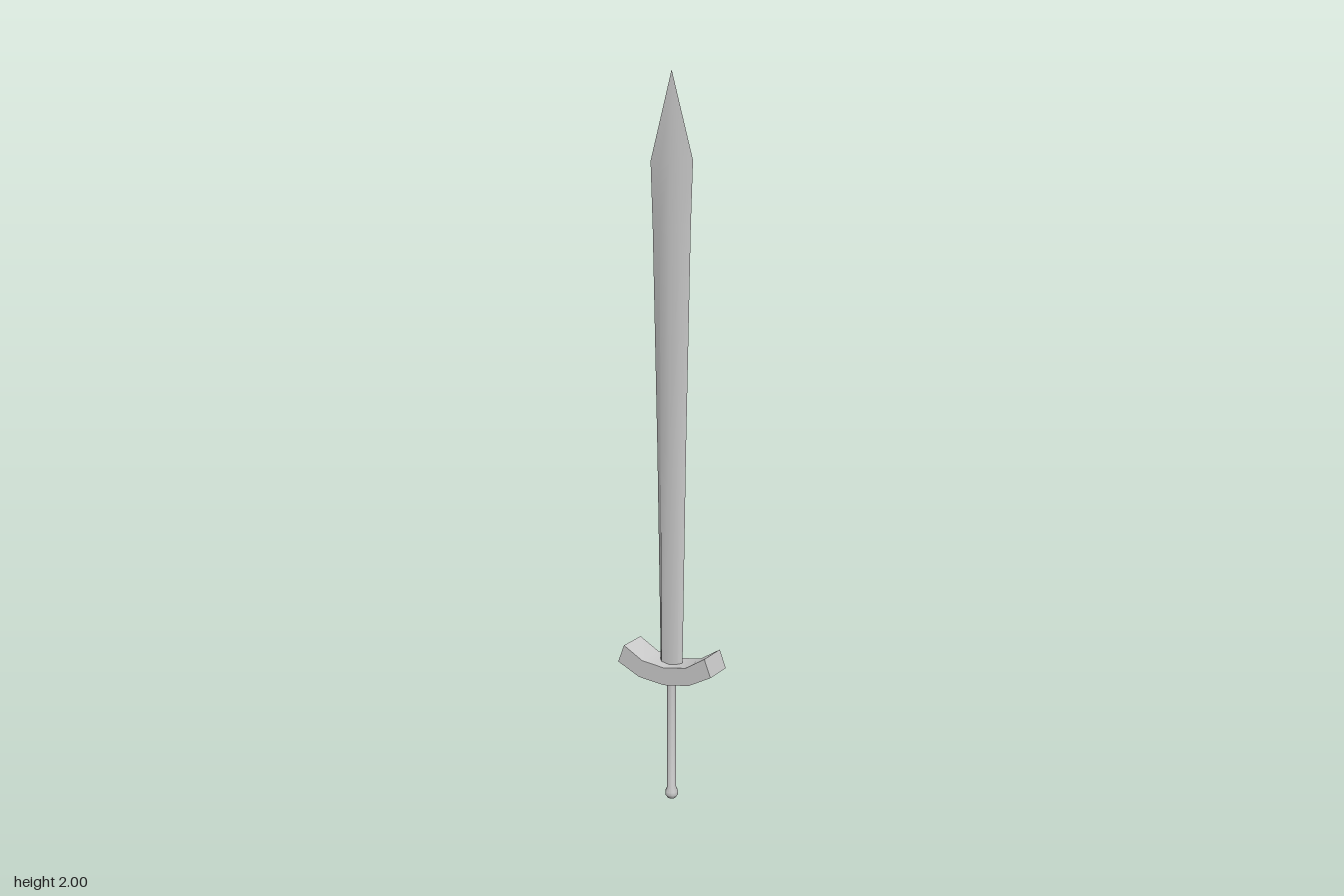
import * as THREE from 'three';
import { toCreasedNormals } from 'three/addons/utils/BufferGeometryUtils.js';

const material = new THREE.MeshStandardMaterial({ color: 0xcccccc });

function addPart(group, name, geometry, crease = 0.6) {
  const mesh = new THREE.Mesh(toCreasedNormals(geometry, crease), material);
  mesh.name = name;
  group.add(mesh);
  return mesh;
}

// Eight-sided lens sections lofted upwards, closed by a single tip point.
function bladeGeometry() {
  // y, half width, shoulder x, shoulder z, ridge z
  const rows = [
    [0.37, 0.034, 0.026, 0.011, 0.015],
    [1.0, 0.044, 0.028, 0.011, 0.014],
    [1.6, 0.057, 0.030, 0.010, 0.013],
    [1.77, 0.063, 0.031, 0.007, 0.010],
  ];
  const positions = [];
  const index = [];
  for (const [y, w, sx, sz, rz] of rows) {
    positions.push(w, y, 0, sx, y, sz, 0, y, rz, -sx, y, sz);
    positions.push(-w, y, 0, -sx, y, -sz, 0, y, -rz, sx, y, -sz);
  }
  const tip = rows.length * 8;
  positions.push(0, 2, 0, 0, rows[0][0], 0);
  for (let i = 0; i < 8; i++) {
    const j = (i + 1) % 8;
    for (let r = 0; r < rows.length - 1; r++) {
      const a = r * 8 + i, b = r * 8 + j;
      index.push(a, a + 8, b, b, a + 8, b + 8);
    }
    index.push(tip - 8 + i, tip, tip - 8 + j);
    index.push(i, j, tip + 1);
  }
  const geometry = new THREE.BufferGeometry();
  geometry.setAttribute('position', new THREE.Float32BufferAttribute(positions, 3));
  geometry.setIndex(index);
  return geometry;
}

// Upturned curved bar, extruded front to back.
function guardGeometry() {
  const half = [[0, 0.35], [0.078, 0.361], [0.145, 0.395], [0.126, 0.445], [0.068, 0.41], [0, 0.4]];
  const mirrored = half.slice(1, -1).reverse().map(([x, y]) => [-x, y]);
  const shape = new THREE.Shape([...half, ...mirrored].map(([x, y]) => new THREE.Vector2(x, y)));
  const depth = 0.094;
  return new THREE.ExtrudeGeometry(shape, { depth, bevelEnabled: false }).translate(0, 0, -depth / 2);
}

// Slim round grip ending in a small pommel.
function handleGeometry() {
  const profile = [[0, 0], [0.012, 0.003], [0.018, 0.012], [0.018, 0.022], [0.013, 0.034], [0.013, 0.365], [0, 0.365]];
  return new THREE.LatheGeometry(profile.map(([r, y]) => new THREE.Vector2(r, y)), 16);
}

export function createModel() {
  const sword = new THREE.Group();
  sword.name = 'sword';
  addPart(sword, 'blade', bladeGeometry());
  addPart(sword, 'crossguard', guardGeometry());
  addPart(sword, 'gripAndPommel', handleGeometry());
  return sword;
}
